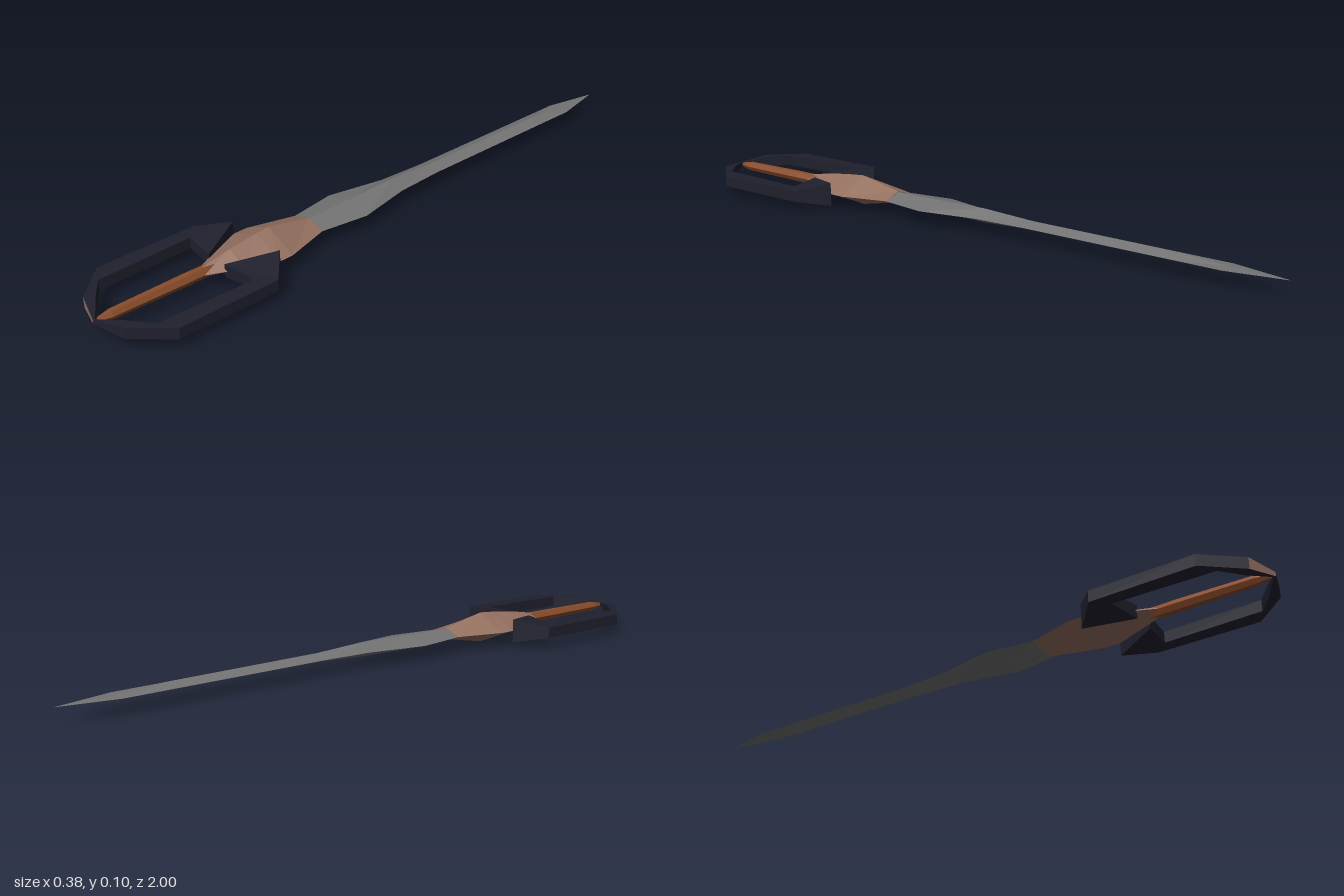
import * as THREE from 'three';

const MID = 0.05; // height of the sword's centre plane

const mat = (name, color) => {
  const m = new THREE.MeshStandardMaterial({ color, flatShading: true });
  m.name = name;
  return m;
};

// Skin a list of rings (counter-clockwise seen from the far end) with closed ends.
// isAccent(station, side) marks faces that take the second material.
function loft(name, rings, materials, isAccent = () => false) {
  const pos = [];
  const geo = new THREE.BufferGeometry();
  const tri = (a, b, c, accent) => {
    geo.addGroup(pos.length / 3, 3, accent ? 1 : 0);
    pos.push(...a, ...b, ...c);
  };
  const n = rings[0].length;
  for (let i = 0; i < rings.length - 1; i++) {
    for (let j = 0; j < n; j++) {
      const k = (j + 1) % n, [p, q] = [rings[i], rings[i + 1]];
      const accent = isAccent(i, j);
      tri(p[j], p[k], q[j], accent);
      tri(p[k], q[k], q[j], accent);
    }
  }
  const first = rings[0], last = rings[rings.length - 1];
  for (let j = 1; j < n - 1; j++) {
    tri(first[0], first[j + 1], first[j]);
    tri(last[0], last[j], last[j + 1]);
  }
  geo.setAttribute('position', new THREE.Float32BufferAttribute(pos, 3));
  geo.computeVertexNormals();
  const mesh = new THREE.Mesh(geo, materials);
  mesh.name = name;
  return mesh;
}

// Diamond cross-section: z, half width, half height
const diamond = ([z, w, h]) => [[w, MID, z], [0, MID + h, z], [-w, MID, z], [0, MID - h, z]];

export function createModel() {
  const steel = mat('steel grey', 0x737373);
  const bronze = mat('dull bronze', 0x947060);
  const dark = mat('dark navy', 0x20202e);
  const leather = mat('brown leather', 0x8a4c2a);
  const sword = new THREE.Group();
  sword.name = 'sword';

  // Leaf-shaped blade with a flat point
  sword.add(loft('blade', [
    [-1, 0.001, 0.0005], [-0.83, 0.036, 0.002], [-0.69, 0.036, 0.012],
    [-0.2, 0.037, 0.014], [-0.04, 0.046, 0.022], [0.14, 0.083, 0.018], [0.3, 0.059, 0.016],
  ].map(diamond), [steel]));

  // Faceted guard
  sword.add(loft('guard', [
    [0.29, 0.06, 0.018], [0.435, 0.102, 0.048], [0.48, 0.102, 0.044],
    [0.57, 0.066, 0.033], [0.67, 0.017, 0.014],
  ].map(diamond), [bronze]));

  // Slim six-sided grip
  const gripRing = ([z, r]) => Array.from({ length: 6 }, (_, i) => {
    const a = (i * Math.PI) / 3;
    return [r * Math.cos(a), MID + r * Math.sin(a), z];
  });
  sword.add(loft('grip', [[0.62, 0.017], [0.72, 0.018], [0.95, 0.015], [0.985, 0.008]].map(gripRing), [leather]));

  // Hand frame on each side: outer x, z, half height, then inner x, z, half height
  const stations = [
    [0.105, 0.48, 0.038, 0.035, 0.615, 0.02],
    [0.19, 0.555, 0.017, 0.145, 0.6, 0.017],
    [0.19, 0.87, 0.017, 0.135, 0.9, 0.017],
    [0.094, 0.97, 0.017, 0.07, 0.948, 0.017],
    [0, 1, 0.006, 0, 0.993, 0.006],
  ];
  for (const side of [1, -1]) {
    const rings = stations.map(([ox, oz, oh, ix, iz, ih]) => {
      const ring = [
        [side * ox, MID - oh, oz], [side * ox, MID + oh, oz],
        [side * ix, MID + ih, iz], [side * ix, MID - ih, iz],
      ];
      return side > 0 ? ring : ring.reverse();
    });
    // One outer end face of the right frame is bronze
    const accent = (i, j) => side < 0 && i === 3 && j === 2;
    sword.add(loft(side > 0 ? 'leftFrame' : 'rightFrame', rings, [dark, bronze], accent));
  }
  return sword;
}
